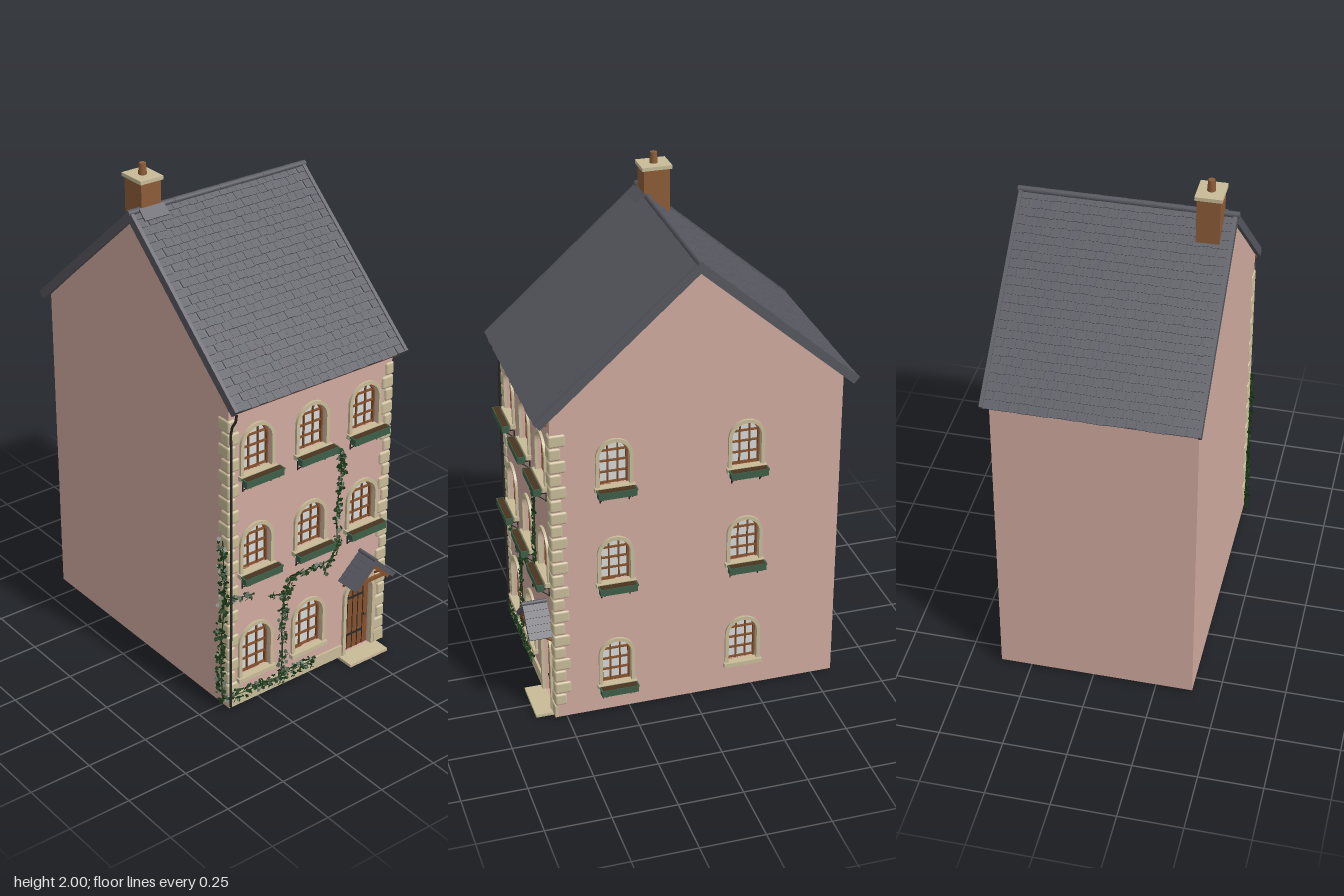
import * as THREE from 'three';
import { mergeGeometries } from 'three/addons/utils/BufferGeometryUtils.js';
import { RoundedBoxGeometry } from 'three/addons/geometries/RoundedBoxGeometry.js';

const mat = (name, color, side = THREE.FrontSide) => {
  const m = new THREE.MeshStandardMaterial({ color, side });
  m.name = name;
  return m;
};
const plaster = mat('pink plaster', 0xd0aa9f);
const slate = mat('slate', 0x56565f);
const stone = mat('cream stone', 0xc8bb98);
const wood = mat('brown wood', 0x84502c);
const brick = mat('chimney brick', 0x8c5c38);
const green = mat('green paint', 0x3d5f48);
const leaf = mat('ivy leaf', 0x1f3d1c, THREE.DoubleSide);
const glass = mat('window glass', 0xd6d8d8, THREE.DoubleSide);
const iron = mat('dark iron', 0x2b2927);
const soil = mat('soil', 0x4a3420);

// House extents
const X0 = -0.395, X1 = 0.37, Z0 = -0.58, Z1 = 0.54, Y0 = 0.01, T = 0.04;
const RIDGE_Z = -0.017, RIDGE_Y = 1.845;

let seed = 7;
const rnd = () => (seed = (seed * 16807) % 2147483647) / 2147483647;

function add(parent, name, geo, material, x = 0, y = 0, z = 0) {
  const m = new THREE.Mesh(geo, material);
  m.name = name;
  m.position.set(x, y, z);
  parent.add(m);
  return m;
}
const box = (w, h, d) => new THREE.BoxGeometry(w, h, d);
const group = (parent, name, x = 0, y = 0, z = 0) => {
  const g = new THREE.Group();
  g.name = name;
  g.position.set(x, y, z);
  parent.add(g);
  return g;
};
const extrude = (shape, depth) => new THREE.ExtrudeGeometry(shape, { depth, bevelEnabled: false, curveSegments: 12 });
const tube = (pts, r) => new THREE.TubeGeometry(new THREE.CatmullRomCurve3(pts.map(p => new THREE.Vector3(...p))), pts.length * 6, r, 6);

// Round-headed outline centred on cx, from y up to y + h
function arch(w, h, cx = 0, y = 0, Cls = THREE.Shape) {
  const s = new Cls(), r = w / 2;
  s.moveTo(cx - r, y);
  s.lineTo(cx + r, y);
  s.lineTo(cx + r, y + h - r);
  s.absarc(cx, y + h - r, r, 0, Math.PI, false);
  s.closePath();
  return s;
}
function archRing(w, h, t, depth) {
  const s = arch(w + 2 * t, h + t);
  s.holes.push(arch(w, h, 0, 0, THREE.Path));
  return extrude(s, depth);
}

// Window facing +z with its wall face at z = 0
function addWindow(parent, u, y, w, h, planter) {
  const g = group(parent, 'window', u, y, 0);
  add(g, 'glass', new THREE.ShapeGeometry(arch(w, h)), glass, 0, 0, -0.026);
  add(g, 'stoneSurround', archRing(w, h, 0.014, 0.018), stone, 0, 0, -0.008);
  add(g, 'woodFrame', archRing(w - 0.014, h - 0.007, 0.007, 0.012), wood, 0, 0, -0.026);
  add(g, 'sill', box(w + 0.04, 0.018, 0.03), stone, 0, -0.008, 0.005);
  const r = w / 2;
  for (const x of [-w / 6, w / 6]) {
    const len = h - r + Math.sqrt(r * r - x * x);
    add(g, 'verticalBar', box(0.005, len, 0.008), wood, x, len / 2, -0.021);
  }
  for (const f of [0.03, 0.27, 0.52, 0.76]) {
    const over = Math.max(0, f * h - (h - r));
    add(g, 'crossBar', box(2 * Math.sqrt(r * r - over * over), 0.006, 0.008), wood, 0, f * h, -0.021);
  }
  if (!planter) return;
  // Planter on iron brackets
  add(g, 'planter', box(planter, 0.028, 0.028), green, 0, -0.014, 0.04);
  add(g, 'planterRim', box(planter + 0.006, 0.006, 0.031), green, 0, -0.002, 0.04);
  add(g, 'planterSoil', box(planter - 0.008, 0.004, 0.024), soil, 0, 0.001, 0.04);
  for (const s of [-1, 1]) {
    const x = s * planter * 0.38;
    add(g, 'bracketArm', box(0.004, 0.004, 0.05), iron, x, -0.03, 0.026);
    add(g, 'bracketBrace', tube([[x, -0.065, 0.002], [x, -0.05, 0.018], [x, -0.03, 0.045]], 0.002), iron);
    add(g, 'bracketPost', box(0.004, 0.04, 0.004), iron, x, -0.048, 0.003);
  }
}

// One roof slope: backing slab, rows of slates and edge boards; local y runs up the slope
function addSlope(parent, name, eaveZ, eaveY, ridgeZ, cx) {
  const dy = RIDGE_Y - eaveY, dz = ridgeZ - eaveZ, len = Math.hypot(dy, dz);
  const g = group(parent, name, cx, eaveY, eaveZ);
  g.rotation.x = Math.atan2(dz, dy);
  add(g, 'roofDeck', box(0.785, len, 0.018), slate, 0, len / 2, -0.014);
  const rows = 25, cols = 22, step = len / rows, tw = 0.78 / cols, parts = [];
  for (let i = 0; i < rows; i++) for (let j = 0; j < cols; j++) {
    const odd = i % 2, x = -0.39 + (j + 0.5 + (odd ? 0.25 : -0.25) * (j > 0 && j < cols - 1 ? 1 : 0)) * tw;
    const t = box(tw * 0.97, step * 1.1, 0.005);
    t.rotateX(-0.1);
    t.translate(x, (i + 0.5) * step - rnd() * 0.004, -0.003 + rnd() * 0.0015);
    parts.push(t);
  }
  add(g, 'slates', mergeGeometries(parts), slate);
  for (const s of [-1, 1]) add(g, 'vergeBoard', box(0.014, len + 0.004, 0.034), slate, s * 0.394, len / 2, -0.012);
}

function addIvy(parent) {
  const g = group(parent, 'ivy');
  const z = Z1 + 0.008;
  // Each stem: path, leaf count, spread
  const stems = [
    [[[-0.40, 0.06, z], [-0.25, 0.055, z], [-0.1, 0.055, z], [0.01, 0.06, z]], 170, 0.026],
    [[[-0.15, 0.02, z], [-0.14, 0.15, z], [-0.145, 0.3, z], [-0.13, 0.42, z], [-0.1, 0.48, z]], 150, 0.02],
    [[[-0.1, 0.48, z], [0.0, 0.485, z], [0.09, 0.49, z], [0.12, 0.56, z]], 70, 0.015],
    [[[0.12, 0.54, z], [0.115, 0.7, z], [0.13, 0.85, z], [0.12, 0.96, z]], 130, 0.018],
    [[[-0.13, 0.42, z], [-0.17, 0.43, z], [-0.21, 0.44, z]], 16, 0.012],
    [[[0.09, 0.49, z], [0.07, 0.46, z], [0.06, 0.43, z]], 10, 0.012],
    [[[-0.40, 0.5, z], [-0.35, 0.49, z], [-0.29, 0.48, z]], 36, 0.015],
    [[[X0 - 0.01, 0.02, 0.52], [X0 - 0.01, 0.25, 0.51], [X0 - 0.01, 0.5, 0.53], [X0 - 0.01, 0.74, 0.52]], 210, 0.026],
  ];
  const leaves = [];
  for (const [pts, n, spread] of stems) {
    add(g, 'ivyStem', tube(pts, 0.0025), leaf);
    const curve = new THREE.CatmullRomCurve3(pts.map(p => new THREE.Vector3(...p)));
    const onSide = pts[0][2] < z;
    for (let i = 0; i < n; i++) {
      const p = curve.getPoint(rnd());
      const a = (rnd() - 0.5) * 2 * spread, b = (rnd() - 0.5) * 2 * spread, c = rnd() * 0.01;
      const l = new THREE.CircleGeometry(0.0055 + rnd() * 0.0045, 5);
      l.rotateZ(rnd() * 6);
      l.rotateX((rnd() - 0.5) * 1.6);
      l.rotateY((rnd() - 0.5) * 1.6 - (onSide ? 1 : 0));
      l.translate(p.x + (onSide ? -c : a), Math.max(0.012, p.y + b), p.z + (onSide ? a : c));
      leaves.push(l);
    }
  }
  add(g, 'ivyLeaves', mergeGeometries(leaves), leaf);
}

function addDoor(parent) {
  const g = group(parent, 'door', 0.243, Y0, Z1);
  add(g, 'doorLeaf', extrude(arch(0.13, 0.325), 0.02), wood, 0, 0, -0.036);
  add(g, 'doorSurround', archRing(0.13, 0.325, 0.015, 0.02), stone, 0, 0, -0.008);
  add(g, 'keystone', box(0.022, 0.035, 0.026), stone, 0, 0.335, 0.004);
  for (const x of [-0.039, -0.013, 0.013, 0.039]) add(g, 'plankGap', box(0.003, 0.285, 0.004), iron, x, 0.143, -0.016);
  for (const y of [0.07, 0.24]) add(g, 'hinge', box(0.1, 0.007, 0.005), iron, -0.014, y, -0.014);
  add(g, 'knob', new THREE.SphereGeometry(0.006, 10, 8), iron, 0.045, 0.14, -0.01);
  add(g, 'doorstep', box(0.19, 0.012, 0.08), stone, 0, -0.004, 0.037);
  // Small gabled canopy
  const c = group(parent, 'canopy', 0.243, 0.465, Z1);
  for (const s of [-1, 1]) {
    const side = group(c, 'canopySide');
    side.rotation.z = -s * 0.76;
    add(side, 'canopyBoard', box(0.14, 0.014, 0.095), slate, s * 0.07, -0.01, 0.047);
    for (let i = 0; i < 5; i++) {
      const t = add(side, 'canopySlate', box(0.034, 0.005, 0.095), slate, s * (0.016 + i * 0.028), -0.001, 0.047);
      t.rotation.z = s * 0.1;
    }
    add(side, 'rafter', box(0.125, 0.014, 0.012), wood, s * 0.066, -0.023, 0.08);
    add(c, 'canopyBracket', tube([[s * 0.08, -0.13, 0.004], [s * 0.08, -0.11, 0.03], [s * 0.08, -0.09, 0.08]], 0.005), wood);
    add(c, 'canopyBeam', box(0.012, 0.012, 0.085), wood, s * 0.08, -0.092, 0.042);
  }
  add(c, 'tieBeam', box(0.15, 0.012, 0.012), wood, 0, -0.088, 0.08);
  add(c, 'canopyRidge', new THREE.CylinderGeometry(0.008, 0.008, 0.1, 10).rotateX(Math.PI / 2), slate, 0, 0, 0.048);
}

export function createModel() {
  const house = new THREE.Group();
  house.name = 'townHouse';

  // Window list per wall: u, sill y, width, height, planter length
  const frontWins = [], sideWins = [];
  for (const u of [-0.267, -0.012, 0.24]) {
    frontWins.push([u, 1.0, 0.128, 0.182, 0.17], [u, 0.588, 0.128, 0.182, 0.17]);
    if (u < 0.2) frontWins.push([u, 0.127, 0.136, 0.21, 0]);
  }
  for (const u of [-0.302, 0.205]) {
    for (const y of [1.0, 0.588]) sideWins.push([u, y, 0.114, 0.18, 0.145]);
    sideWins.push([u, 0.13, 0.114, 0.188, u < 0 ? 0.145 : 0]);
  }

  // Walls
  const walls = group(house, 'walls');
  const rect = () => new THREE.Shape([[X0 + T, Y0], [X1 - T, Y0], [X1 - T, 1.31], [X0 + T, 1.31]].map(p => new THREE.Vector2(...p)));
  const gable = () => new THREE.Shape([[-Z1, Y0], [-Z0, Y0], [-Z0, 1.315], [-RIDGE_Z, 1.815], [-Z1, 1.31]].map(p => new THREE.Vector2(...p)));
  const pierce = (shape, wins) => {
    for (const [u, y, w, h] of wins) shape.holes.push(arch(w, h, u, y, THREE.Path));
    return shape;
  };
  const frontShape = pierce(rect(), [...frontWins, [0.243, Y0 + 0.001, 0.13, 0.324]]);
  add(walls, 'frontWall', extrude(frontShape, T), plaster, 0, 0, Z1 - T);
  add(walls, 'backWall', extrude(rect(), T), plaster, 0, 0, Z0);
  add(walls, 'rightWall', extrude(pierce(gable(), sideWins), T), plaster, X1 - T).rotation.y = Math.PI / 2;
  add(walls, 'leftWall', extrude(gable(), T), plaster, X0).rotation.y = Math.PI / 2;

  // Windows
  const front = group(house, 'frontWindows', 0, 0, Z1);
  frontWins.forEach(w => addWindow(front, ...w));
  const side = group(house, 'sideWindows', X1, 0, 0);
  side.rotation.y = Math.PI / 2;
  sideWins.forEach(w => addWindow(side, ...w));

  // Corner stones and plinth
  const quoins = group(house, 'cornerStones');
  for (const s of [-1, 1]) for (let i = 0; i < 22; i++) {
    const w = i % 2 ? 0.038 : 0.054, d = i % 2 ? 0.066 : 0.048;
    const cx = s > 0 ? X1 + 0.006 - w / 2 : X0 - 0.006 + w / 2;
    add(quoins, 'cornerStone', new RoundedBoxGeometry(w, 0.051, d, 2, 0.009), stone, cx, 0.09 + i * 0.0535, Z1 + 0.008 - d / 2);
  }
  add(house, 'plinth', box(0.555, 0.05, 0.012), stone, -0.118, 0.036, Z1 + 0.003);
  add(house, 'plinthEnd', box(0.045, 0.05, 0.012), stone, 0.35, 0.036, Z1 + 0.003);

  // Roof
  const roof = group(house, 'roof');
  addSlope(roof, 'frontSlope', 0.597, 1.3, RIDGE_Z, -0.01);
  const rear = group(roof, 'rear');
  rear.rotation.y = Math.PI;
  addSlope(rear, 'backSlope', 0.632, 1.31, -RIDGE_Z, 0.01);
  for (let i = 0; i < 8; i++) {
    add(roof, 'ridgeTile', new THREE.CylinderGeometry(0.0125, 0.0115, 0.103, 12).rotateZ(Math.PI / 2), slate, -0.366 + i * 0.1015, RIDGE_Y - 0.003, RIDGE_Z);
  }
  add(roof, 'eaveBoard', box(0.77, 0.016, 0.03), wood, -0.012, 1.288, 0.565);

  // Chimney
  const chimney = group(house, 'chimney', -0.32, 0, -0.057);
  add(chimney, 'stack', box(0.086, 0.2, 0.102), brick, 0, 1.845, 0);
  add(chimney, 'cap', box(0.1, 0.014, 0.118), stone, 0, 1.95, 0);
  add(chimney, 'pot', new THREE.CylinderGeometry(0.013, 0.016, 0.045, 14), brick, 0, 1.9775, 0);
  add(chimney, 'flashing', box(0.108, 0.006, 0.05), slate, 0, 1.834, 0.068).rotation.x = 0.73;

  // Drainpipe
  const px = X0 + 0.003, pz = Z1 + 0.014;
  add(house, 'drainpipe', tube([[px, 1.285, 0.585], [px, 1.25, 0.578], [px, 1.21, pz], [px, 1.1, pz], [px, 0.6, pz], [px, 0.02, pz]], 0.005), iron);

  addDoor(house);
  addIvy(house);
  return house;
}
